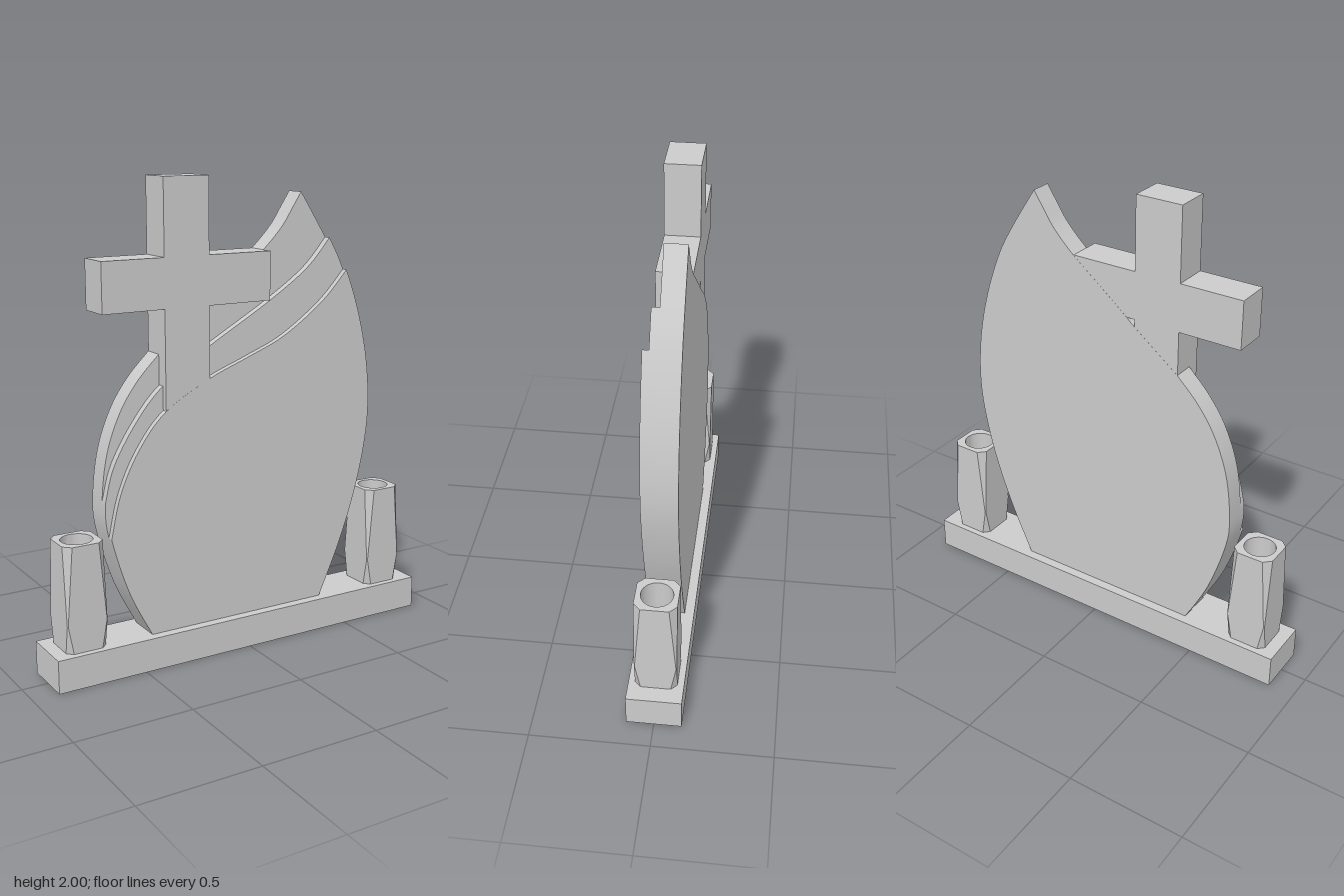
import * as THREE from 'three';
import { toCreasedNormals } from 'three/addons/utils/BufferGeometryUtils.js';

const stone = new THREE.MeshStandardMaterial({ color: 0xcccccc });

function addMesh(parent, name, geometry) {
  const mesh = new THREE.Mesh(geometry, stone);
  mesh.name = name;
  parent.add(mesh);
  return mesh;
}

// Smooth curve through [x, y] pairs
const sample = (pairs, n) =>
  new THREE.SplineCurve(pairs.map(([x, y]) => new THREE.Vector2(x, y))).getPoints(n);

// Flat outline given thickness from z0 to z1
function slab(points, z0, z1) {
  const geometry = new THREE.ExtrudeGeometry(new THREE.Shape(points), { depth: z1 - z0, bevelEnabled: false });
  geometry.translate(0, 0, z0);
  return toCreasedNormals(geometry, 0.4);
}

// Side edges of the leaf-shaped headstone, from the base upward
const leftEdge = sample([[-0.45, 0.14], [-0.55, 0.34], [-0.625, 0.583], [-0.636, 0.73], [-0.61, 0.92],
  [-0.55, 1.08], [-0.47, 1.2], [-0.372, 1.3]], 56);
const rightEdge = sample([[0.387, 0.14], [0.49, 0.37], [0.57, 0.6], [0.62, 0.82], [0.635, 1.0], [0.618, 1.2],
  [0.572, 1.4], [0.503, 1.59], [0.43, 1.727], [0.305, 1.92]], 72);

// One headstone layer: side edges cut off where its top ridge meets them
function layer(ridge, z0, z1) {
  const top = sample(ridge, 48);
  const first = top[0], last = top[top.length - 1];
  const left = leftEdge.filter(p => p.y < first.y - 0.005);
  const right = rightEdge.filter(p => p.y < last.y - 0.005);
  return slab([...right, ...top.reverse(), ...left.reverse()], z0, z1);
}

// Square vase with tapered corner chamfers and a round bore
function vase(x) {
  const group = new THREE.Group();
  group.position.set(x, 0.14, 0);
  const h = 0.0875, height = 0.447, bore = 0.066, depth = 0.3;
  const ring = (y, c) => [[h, h - c], [h - c, h], [c - h, h], [-h, h - c], [-h, c - h], [c - h, -h],
    [h - c, -h], [h, c - h]].map(([px, pz]) => [px, y, pz]);
  const rings = [ring(0, 0.025), ring(0.12, 0.003), ring(height, 0.03)];
  const pos = [];
  for (let r = 0; r < 2; r++) {
    for (let i = 0; i < 8; i++) {
      const j = (i + 1) % 8;
      const a = rings[r][i], b = rings[r][j], c = rings[r + 1][j], d = rings[r + 1][i];
      pos.push(...a, ...d, ...c, ...a, ...c, ...b);
    }
  }
  const walls = new THREE.BufferGeometry();
  walls.setAttribute('position', new THREE.Float32BufferAttribute(pos, 3));
  walls.computeVertexNormals();
  addMesh(group, 'vaseWalls', walls);

  // Rim with round opening
  const rimShape = new THREE.Shape(rings[2].map(p => new THREE.Vector2(p[0], -p[2])));
  rimShape.holes.push(new THREE.Path().absarc(0, 0, bore, 0, Math.PI * 2, true));
  const rim = new THREE.ShapeGeometry(rimShape, 24);
  rim.rotateX(-Math.PI / 2).translate(0, height, 0);
  addMesh(group, 'vaseRim', rim);

  // Inside of the bore, running down to its floor
  const inside = new THREE.LatheGeometry([[bore, height], [bore, height - depth], [0, height - depth]]
    .map(([r, y]) => new THREE.Vector2(r, y)), 48);
  addMesh(group, 'vaseBore', toCreasedNormals(inside, 0.5));
  return group;
}

export function createModel() {
  const model = new THREE.Group();
  model.name = 'monument';

  // Plinth
  addMesh(model, 'plinth', new THREE.BoxGeometry(1.776, 0.14, 0.23)).position.y = 0.07;

  // Headstone in three layers stepping back toward the top
  const headstone = new THREE.Group();
  headstone.name = 'headstone';
  model.add(headstone);
  addMesh(headstone, 'backLayer', layer([[-0.372, 1.3], [-0.17, 1.455], [-0.13, 1.49], [0.0, 1.595],
    [0.12, 1.69], [0.21, 1.78], [0.265, 1.86], [0.305, 1.92]], -0.074, 0.016));
  addMesh(headstone, 'middleLayer', layer([[-0.636, 0.73], [-0.595, 0.875], [-0.495, 1.04], [-0.372, 1.176],
    [-0.17, 1.31], [0.12, 1.475], [0.315, 1.605], [0.43, 1.727]], 0.016, 0.048));
  addMesh(headstone, 'frontLayer', layer([[-0.625, 0.583], [-0.58, 0.765], [-0.495, 0.935], [-0.372, 1.077],
    [-0.17, 1.19], [0.01, 1.26], [0.19, 1.335], [0.38, 1.465], [0.503, 1.59]], 0.048, 0.074));

  // Cross sunk into the headstone
  const cross = [[-0.372, 1.0], [-0.17, 1.0], [-0.17, 1.487], [0.118, 1.487], [0.118, 1.69], [-0.17, 1.69],
    [-0.17, 2], [-0.372, 2], [-0.372, 1.69], [-0.642, 1.69], [-0.642, 1.487], [-0.372, 1.487]];
  addMesh(model, 'cross', slab(cross.map(([x, y]) => new THREE.Vector2(x, y)), -0.0735, 0.0735));

  // Vases at both ends
  for (const [name, x] of [['rightVase', -0.745], ['leftVase', 0.73]]) {
    const v = vase(x);
    v.name = name;
    model.add(v);
  }
  return model;
}
